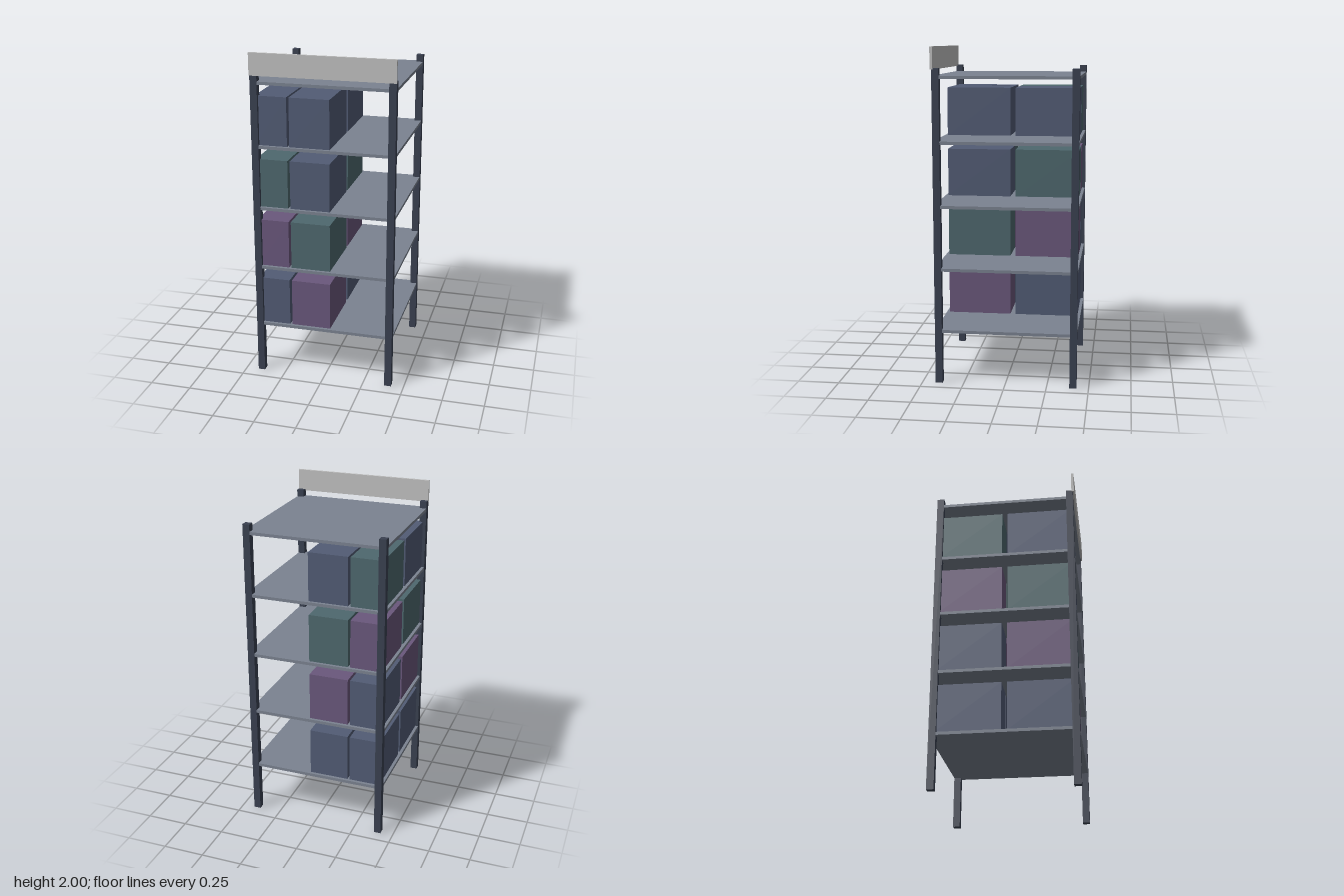
import * as THREE from 'three';

function material(name, color) {
  const m = new THREE.MeshStandardMaterial({ color });
  m.name = name;
  return m;
}

export function createModel() {
  const model = new THREE.Group();
  model.name = 'storageRack';

  const postMat = material('darkSlate', 0x3a4151);
  const shelfMat = material('greySteel', 0x7b8391);
  const signMat = material('lightGrey', 0xc1c1c1);
  const blue = material('dustyBlue', 0x525c75);
  const teal = material('dustyTeal', 0x4e686e);
  const purple = material('dustyPurple', 0x6a587c);

  // Box given by its minimum and maximum corners
  function block(name, mat, [x0, y0, z0], [x1, y1, z1]) {
    const mesh = new THREE.Mesh(new THREE.BoxGeometry(x1 - x0, y1 - y0, z1 - z0), mat);
    mesh.position.set((x0 + x1) / 2, (y0 + y1) / 2, (z0 + z1) / 2);
    mesh.name = name;
    model.add(mesh);
  }

  const half = 0.424;   // half width of the frame
  const midZ = -0.004;  // the sign pushes the frame slightly back
  const post = 0.042;

  // Corner posts
  for (const sx of [-1, 1]) {
    for (const sz of [-1, 1]) {
      const x = sx * (half - post / 2);
      const z = midZ + sz * (half - post / 2);
      block('post', postMat, [x - post / 2, 0, z - post / 2], [x + post / 2, 1.877, z + post / 2]);
    }
  }

  // Five shelves, a hair inside the faces of the posts
  const shelfTop = (i) => 0.331 + i * 0.376;
  const edge = half - 0.001;
  for (let i = 0; i < 5; i++) {
    block('shelf', shelfMat, [-edge, shelfTop(i) - 0.018, midZ - edge], [edge, shelfTop(i), midZ + edge]);
  }

  // Crates, two columns by two rows on each of the lower four shelves
  const columns = [[-0.405, -0.215], [-0.201, 0.038]];
  const rows = [[0.013, 0.401], [-0.409, -0.02]];
  // Per shelf: front outer, front inner, back outer, back inner
  const colours = [
    [blue, purple, blue, blue],
    [purple, teal, blue, purple],
    [teal, blue, purple, teal],
    [blue, blue, teal, blue],
  ];
  colours.forEach((set, i) => {
    const y = shelfTop(i);
    set.forEach((mat, k) => {
      const [x0, x1] = columns[k % 2];
      const [z0, z1] = rows[Math.floor(k / 2)];
      block('crate', mat, [x0, y, z0], [x1, y + 0.291, z1]);
    });
  });

  // Blank sign board above the front
  block('signBoard', signMat, [-0.425, 1.869, 0.412], [0.425, 2, 0.428]);

  return model;
}
